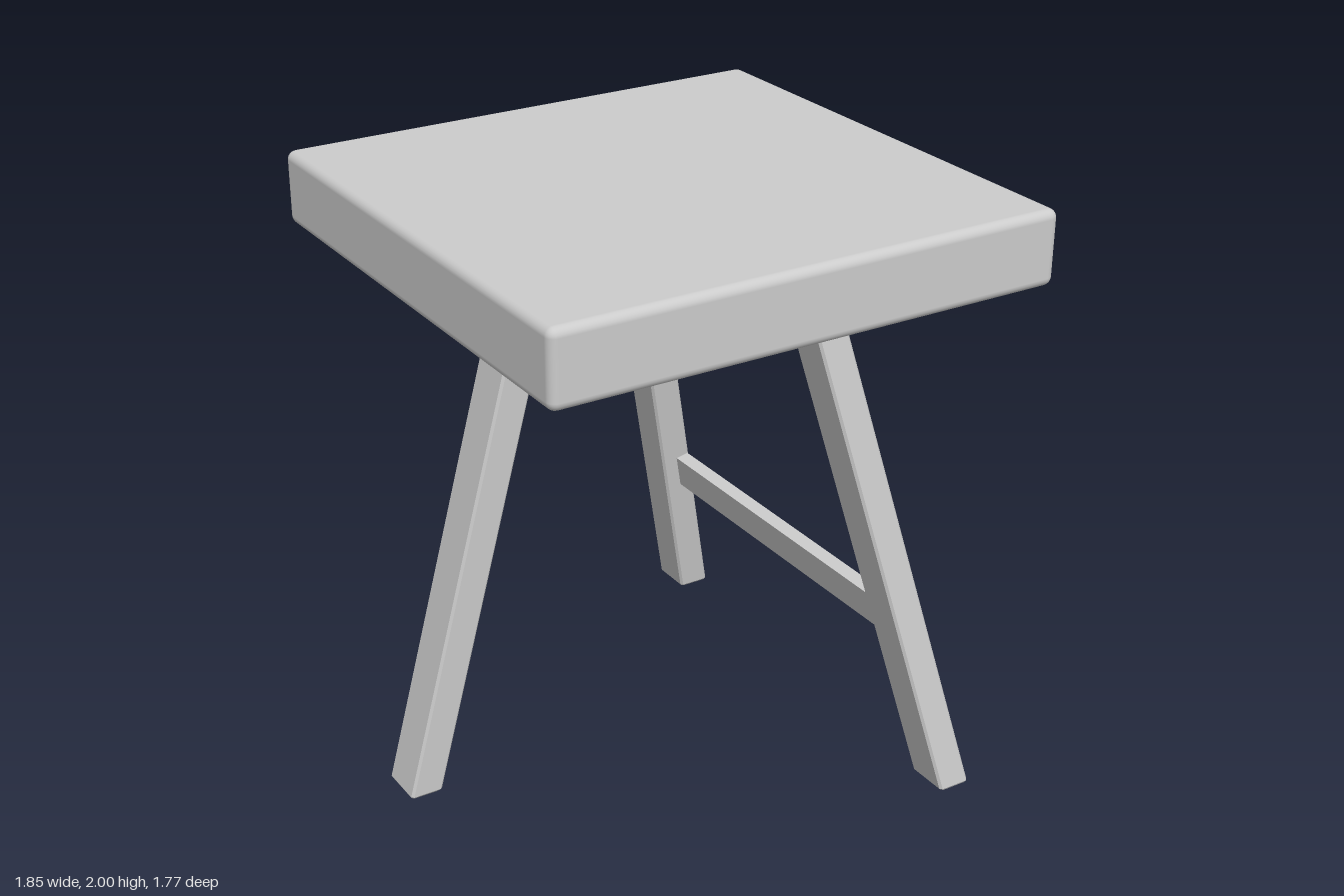
import * as THREE from 'three';
import { RoundedBoxGeometry } from 'three/addons/geometries/RoundedBoxGeometry.js';

const SEAT_BOTTOM = 1.75;

// Splayed hollow leg: a square section with narrow bevels, lofted from foot to seat.
// foot and head are the [x, z] centres at y = 0 and at the underside of the seat.
function legGeometry(foot, head, width, depth, bevel = 0.008) {
  const ring = (y, inset) => {
    const t = y / SEAT_BOTTOM;
    const cx = foot[0] + (head[0] - foot[0]) * t;
    const cz = foot[1] + (head[1] - foot[1]) * t;
    const a = width / 2 - inset, b = depth / 2 - inset, c = bevel;
    return [[a, b - c], [a - c, b], [c - a, b], [-a, b - c], [-a, c - b], [c - a, -b], [a - c, -b], [a, c - b]]
      .map(([x, z]) => [cx + x, y, cz + z]);
  };
  const rings = [ring(0, 0.006), ring(0.008, 0), ring(SEAT_BOTTOM + 0.01, 0)];
  const points = [];
  for (let r = 0; r < rings.length - 1; r++) {
    for (let i = 0; i < 8; i++) {
      const j = (i + 1) % 8;
      const a = rings[r][i], b = rings[r][j], c = rings[r + 1][j], d = rings[r + 1][i];
      points.push(...a, ...c, ...b, ...a, ...d, ...c);
    }
  }
  const geometry = new THREE.BufferGeometry();
  geometry.setAttribute('position', new THREE.Float32BufferAttribute(points, 3));
  geometry.computeVertexNormals();
  return geometry;
}

export function createModel() {
  const stool = new THREE.Group();
  stool.name = 'stool';
  const solid = new THREE.MeshStandardMaterial({ color: 0xcccccc });
  const hollow = new THREE.MeshStandardMaterial({ color: 0xcccccc, side: THREE.DoubleSide });

  const add = (name, geometry, material) => {
    const mesh = new THREE.Mesh(geometry, material);
    mesh.name = name;
    stool.add(mesh);
    return mesh;
  };

  // Thick square seat with softened edges, set slightly towards +x
  const seat = add('seat', new RoundedBoxGeometry(1.77, 0.25, 1.745, 3, 0.03), solid);
  seat.position.set(0.038, SEAT_BOTTOM + 0.125, 0);

  // Pair of legs on the +x side
  for (const [name, s] of [['frontLeg', 1], ['backLeg', -1]]) {
    add(name, legGeometry([0.663, s * 0.81], [0.247, s * 0.538], 0.115, 0.153), hollow);
  }

  // Single leg on the -x side
  add('singleLeg', legGeometry([-0.868, -0.082], [-0.43, -0.028], 0.115, 0.165), hollow);

  // Rail joining the pair, leaning with their slope near the outer faces
  const rail = add('rail', new THREE.BoxGeometry(0.047, 0.128, 1.35), solid);
  rail.position.set(0.554, 0.569, 0);
  rail.rotation.z = Math.atan(0.416 / SEAT_BOTTOM);

  return stool;
}
